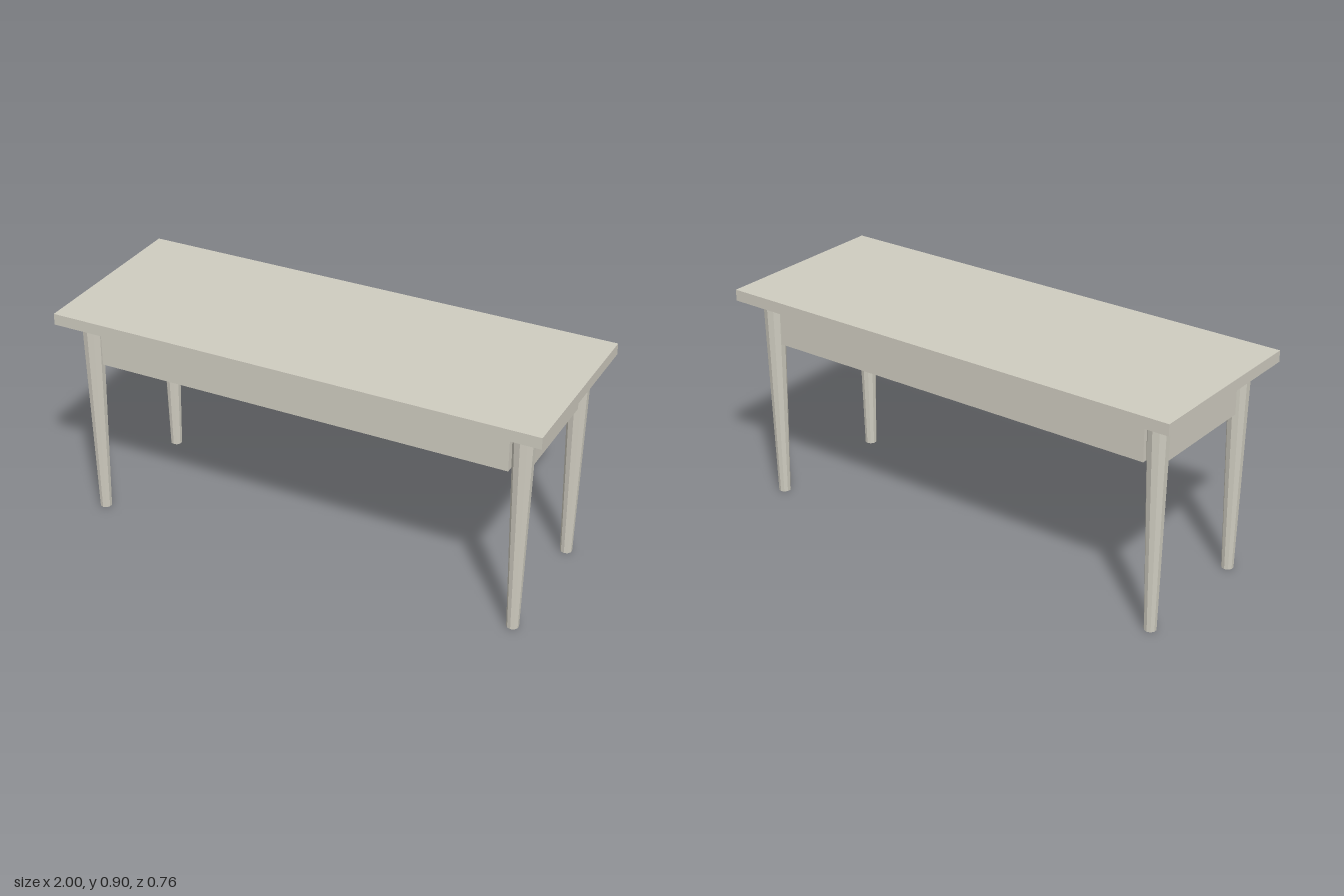
import * as THREE from 'three';

const HEIGHT = 0.9, TOP = 0.046, UNDER = HEIGHT - TOP;
const LEG_X = 0.897, LEG_Z = 0.276;
const APRON_H = 0.18, APRON_T = 0.035;

export function createModel() {
  const table = new THREE.Group();
  table.name = 'table';
  const paint = new THREE.MeshStandardMaterial({ color: 0xcfccc0, flatShading: true });
  paint.name = 'warm grey';

  function add(name, geometry, x, y, z) {
    const mesh = new THREE.Mesh(geometry, paint);
    mesh.name = name;
    mesh.position.set(x, y, z);
    table.add(mesh);
  }

  // Tabletop slab
  add('tabletop', new THREE.BoxGeometry(2, TOP, 0.76), 0, HEIGHT - TOP / 2, 0);

  // Tapered faceted legs
  const leg = new THREE.CylinderGeometry(0.043, 0.024, UNDER, 10);
  for (const [sideName, sx] of [['Left', 1], ['Right', -1]]) {
    for (const [endName, sz] of [['front', 1], ['back', -1]]) {
      add(`${endName}${sideName}Leg`, leg, sx * LEG_X, UNDER / 2, sz * LEG_Z);
    }
  }

  // Aprons set between the legs
  const longApron = new THREE.BoxGeometry(1.7, APRON_H, APRON_T);
  const endApron = new THREE.BoxGeometry(APRON_T, APRON_H, 0.46);
  const apronY = UNDER - APRON_H / 2;
  add('frontApron', longApron, 0, apronY, LEG_Z);
  add('backApron', longApron, 0, apronY, -LEG_Z);
  add('leftApron', endApron, LEG_X, apronY, 0);
  add('rightApron', endApron, -LEG_X, apronY, 0);

  return table;
}
